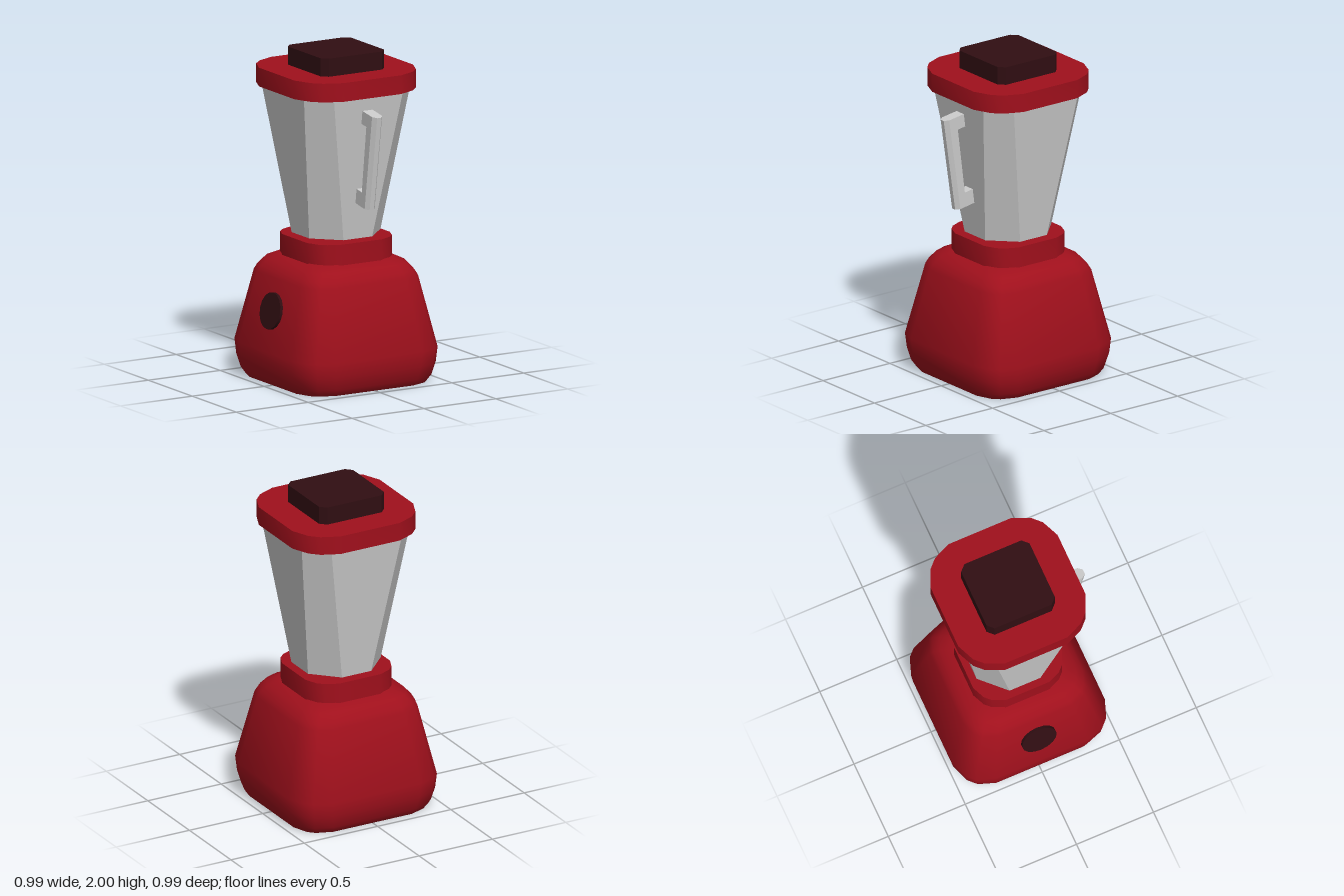
import * as THREE from 'three';
import { toCreasedNormals } from 'three/addons/utils/BufferGeometryUtils.js';

const red = new THREE.MeshStandardMaterial({ color: 0xa0101c });
const dark = new THREE.MeshStandardMaterial({ color: 0x300e12 });
const grey = new THREE.MeshStandardMaterial({ color: 0xcccccc });

// Closed ring at height y: one corner's [x, z] points, turned four times
function ring(corner, scale, y) {
  const points = [];
  for (let q = 0; q < 4; q++) {
    for (const [a, b] of corner) {
      let x = a * scale, z = b * scale;
      for (let k = 0; k < q; k++) [x, z] = [-z, x];
      points.push([x, y, z]);
    }
  }
  return points;
}

// Skin over stacked rings, capped at both ends
function loft(rings, crease) {
  const n = rings[0].length;
  const last = rings.length - 1;
  const centre = (r) => [0, 1, 2].map((k) => r.reduce((s, p) => s + p[k], 0) / n);
  const vertices = [...rings.flat(), centre(rings[0]), centre(rings[last])];
  const index = [];
  for (let i = 0; i < n; i++) {
    const j = (i + 1) % n;
    for (let r = 0; r < last; r++) {
      const a = r * n + i, b = a + n, c = (r + 1) * n + j, d = r * n + j;
      index.push(a, b, c, a, c, d);
    }
    index.push(rings.length * n, i, j);
    index.push(rings.length * n + 1, last * n + j, last * n + i);
  }
  const geometry = new THREE.BufferGeometry();
  geometry.setAttribute('position', new THREE.Float32BufferAttribute(vertices.flat(), 3));
  geometry.setIndex(index);
  return toCreasedNormals(geometry, crease);
}

export function createModel() {
  const model = new THREE.Group();
  const add = (name, geometry, material, parent = model) => {
    const mesh = new THREE.Mesh(geometry, material);
    mesh.name = name;
    parent.add(mesh);
    return mesh;
  };

  const baseCorner = [[1, 0.606], [0.92, 0.83], [0.83, 0.92], [0.606, 1]];
  const roundCorner = [[1, 0.49], [0.886, 0.755], [0.755, 0.886], [0.49, 1]];

  // Motor base: [half width, height] profile
  const baseProfile = [
    [0.44, 0], [0.465, 0.04], [0.486, 0.12], [0.495, 0.21],
    [0.4, 0.64], [0.382, 0.675], [0.345, 0.72], [0.28, 0.752],
  ];
  add('motorBase', loft(baseProfile.map(([w, y]) => ring(baseCorner, w, y)), 1.15), red);
  add('collar', loft([ring(roundCorner, 0.288, 0.74), ring(roundCorner, 0.288, 0.875)], 0.9), red);

  // Eight-sided tapering jar
  const jarRing = (w, flat, y) => ring([[w, flat], [flat, w]], 1, y);
  add('jar', loft([jarRing(0.248, 0.1, 0.89), jarRing(0.37, 0.24, 1.78)], 0.01), grey);

  // Lid and its cap
  add('lid', loft([ring(roundCorner, 0.412, 1.776), ring(roundCorner, 0.412, 1.89)], 0.9), red);
  const capCorner = [[0.222, 0.185], [0.185, 0.222]];
  add('lidCap', loft([ring(capCorner, 1, 1.88), ring(capCorner, 1, 2)], 0.01), dark);

  // Handle: C-shaped body with a tapered front edge
  const handle = new THREE.Group();
  handle.name = 'handle';
  model.add(handle);
  const outline = new THREE.Shape([
    [0.467, 1.674], [0.34, 1.693], [0.33, 1.613], [0.402, 1.602],
    [0.35, 1.194], [0.27, 1.207], [0.26, 1.118], [0.383, 1.097],
  ].map(([z, y]) => new THREE.Vector2(z, y)));
  const body = new THREE.ExtrudeGeometry(outline, { depth: 0.07, bevelEnabled: false });
  body.rotateY(-Math.PI / 2).translate(0.035, 0, 0);
  add('handleBody', body, grey, handle);
  const edgeRing = (zBack, yBack, zFront, yFront) => [
    [0.035, yBack, zBack], [0.015, yFront, zFront],
    [-0.015, yFront, zFront], [-0.035, yBack, zBack],
  ];
  add('handleFrontEdge', loft([
    edgeRing(0.383, 1.097, 0.407, 1.093),
    edgeRing(0.467, 1.674, 0.493, 1.67),
  ], 0.01), grey, handle);

  // Round control knob lying on the sloping right side
  const knobGeometry = new THREE.CylinderGeometry(0.112, 0.112, 0.036, 16);
  const knob = add('controlKnob', toCreasedNormals(knobGeometry, 0.6), dark);
  knob.position.set(-0.442, 0.452, 0);
  knob.rotation.z = 1.353;

  return model;
}
